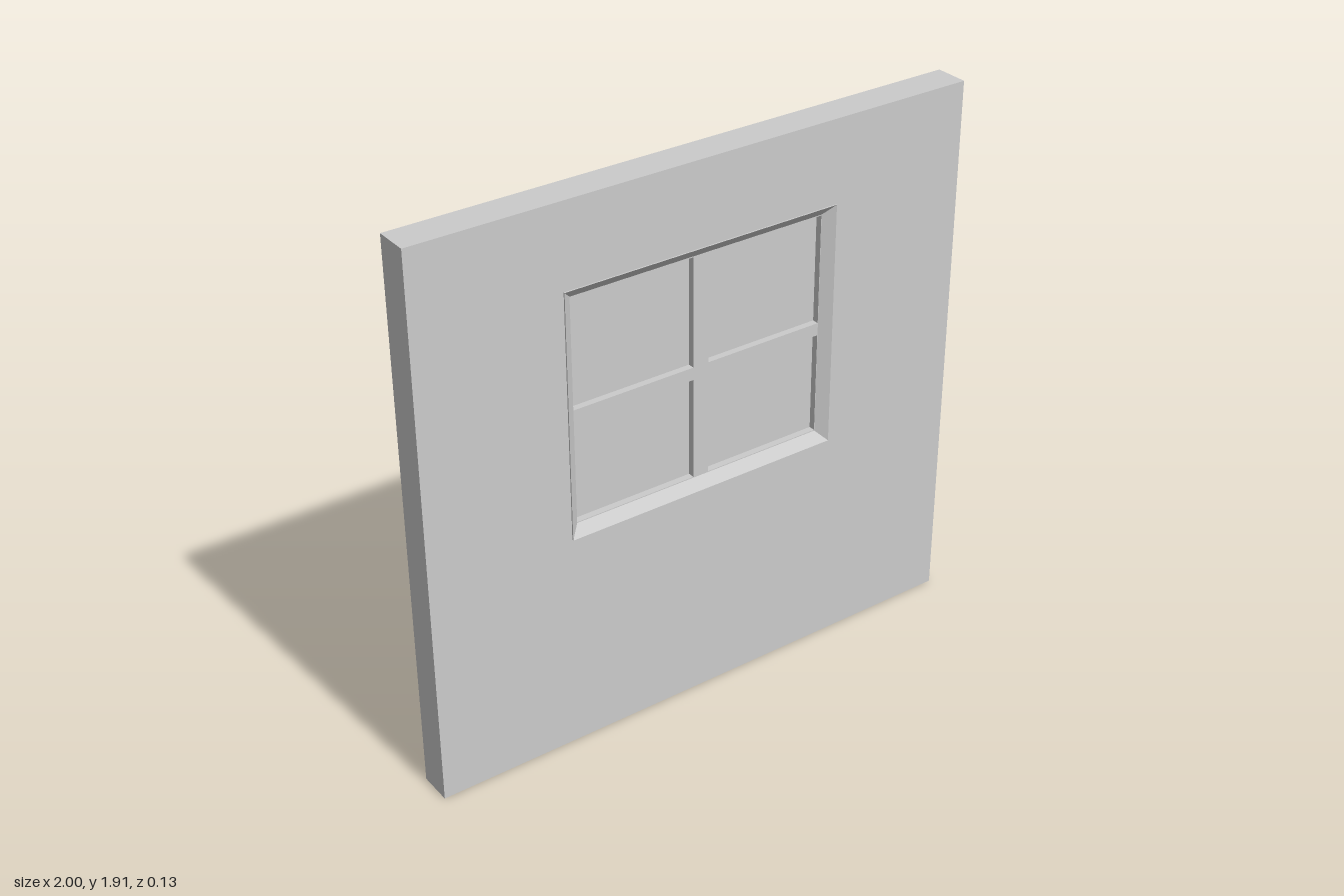
import * as THREE from 'three';

const material = new THREE.MeshStandardMaterial({ color: 0xcccccc, flatShading: true });

function rectangle(PathType, [left, right, bottom, top]) {
  return new PathType([[left, bottom], [right, bottom], [right, top], [left, top]]
    .map(([x, y]) => new THREE.Vector2(x, y)));
}

// Rectangular slab centred on z = 0 with rectangular openings
function slab(name, outline, openings, depth) {
  const shape = rectangle(THREE.Shape, outline);
  shape.holes = openings.map((o) => rectangle(THREE.Path, o));
  const geometry = new THREE.ExtrudeGeometry(shape, { depth, bevelEnabled: false });
  geometry.translate(0, 0, -depth / 2);
  const mesh = new THREE.Mesh(geometry, material);
  mesh.name = name;
  return mesh;
}

// Mitred surround: a closed [inset, z] profile swept around a rectangle
function surround(name, [left, right, bottom, top], profile) {
  const rings = profile.map(([d, z]) => [
    [left + d, bottom + d, z], [right - d, bottom + d, z],
    [right - d, top - d, z], [left + d, top - d, z],
  ]);
  const positions = [];
  rings.forEach((ring, i) => {
    const next = rings[(i + 1) % rings.length];
    for (let j = 0; j < 4; j++) {
      const k = (j + 1) % 4;
      positions.push(...ring[j], ...ring[k], ...next[k], ...ring[j], ...next[k], ...next[j]);
    }
  });
  const geometry = new THREE.BufferGeometry();
  geometry.setAttribute('position', new THREE.Float32BufferAttribute(positions, 3));
  geometry.computeVertexNormals();
  const mesh = new THREE.Mesh(geometry, material);
  mesh.name = name;
  return mesh;
}

export function createModel() {
  const model = new THREE.Group();
  model.name = 'wallWithWindow';

  const opening = [-0.498, 0.498, 0.775, 1.625];
  const sash = [-0.466, 0.464, 0.81, 1.59];

  // Wall panel with the window opening
  model.add(slab('wall', [-1, 1, 0, 1.91], [opening], 0.116));

  // Window: bevelled surround, crossed glazing bars, recessed glass
  const window = new THREE.Group();
  window.name = 'window';
  window.add(surround('bevelledFrame', opening,
    [[0, -0.063], [0, 0.063], [0.035, 0.033], [0.035, -0.033]]));

  const panes = [];
  for (const [left, right] of [[-0.465, -0.025], [0.033, 0.462]]) {
    for (const [bottom, top] of [[0.813, 1.166], [1.21, 1.587]]) {
      panes.push([left, right, bottom, top]);
    }
  }
  window.add(slab('glazingBars', sash, panes, 0.066));
  window.add(slab('glass', sash, [], 0.02));
  model.add(window);

  return model;
}
